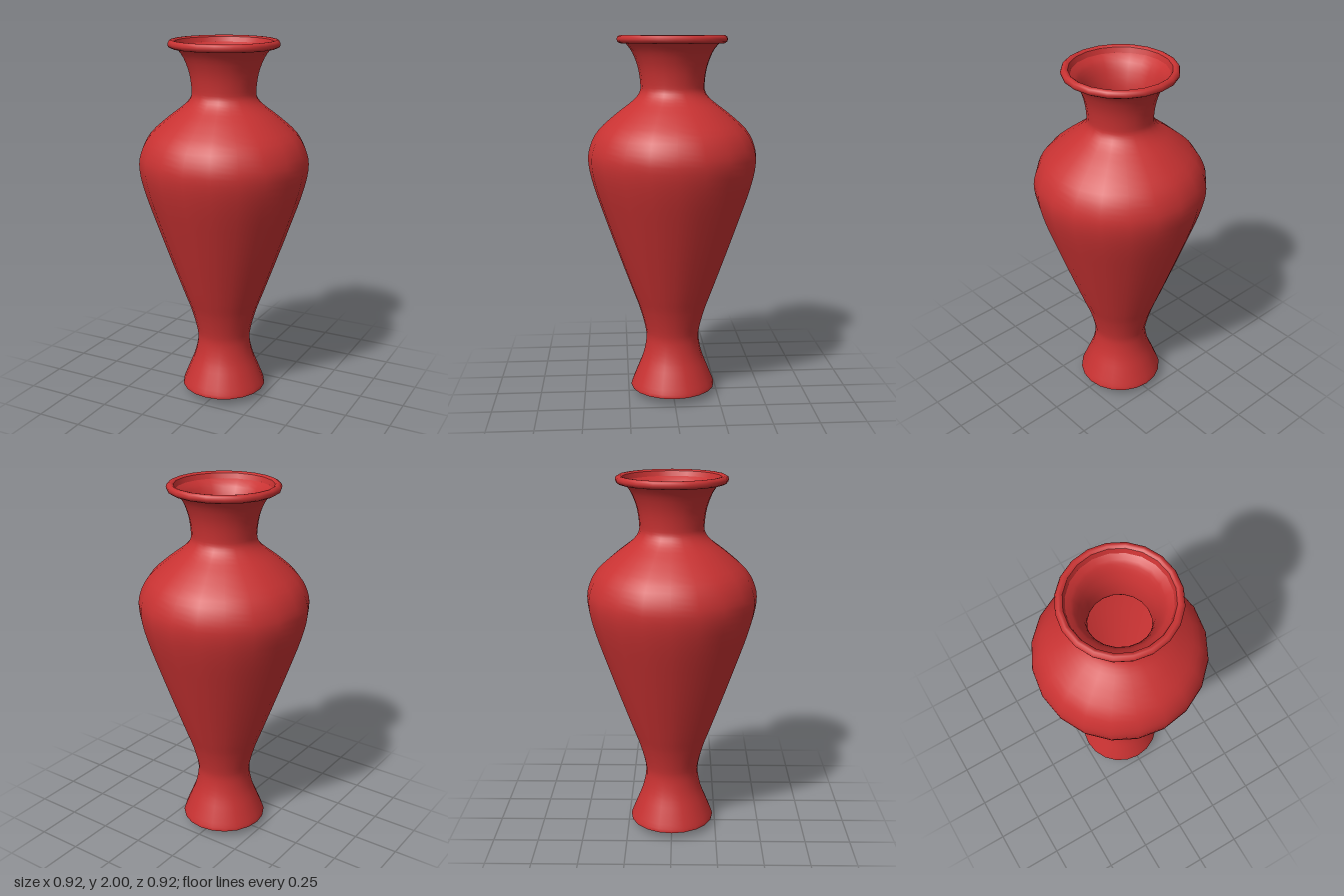
import * as THREE from 'three';

const SIDES = 20;
const WALL = 0.02;

export function createModel() {
  const vase = new THREE.Group();
  vase.name = 'vase';
  const red = new THREE.MeshStandardMaterial({ color: 0xc83232 });
  red.name = 'red glaze';

  const turn = (name, points) => {
    const mesh = new THREE.Mesh(new THREE.LatheGeometry(points, SIDES), red);
    mesh.name = name;
    vase.add(mesh);
  };
  const pts = (list) => list.map(([r, y]) => new THREE.Vector2(r, y));

  // Outer wall, from the foot up to the underside of the lip
  const wallCurve = new THREE.SplineCurve(pts([
    [0.235, 0.04], [0.232, 0.06], [0.2, 0.14], [0.165, 0.23], [0.148, 0.32],
    [0.155, 0.39], [0.185, 0.5], [0.222, 0.6], [0.295, 0.8], [0.366, 1.0],
    [0.43, 1.19], [0.458, 1.32], [0.448, 1.41], [0.4, 1.5], [0.3, 1.59],
    [0.215, 1.655], [0.178, 1.7], [0.173, 1.745], [0.185, 1.83], [0.215, 1.91], [0.25, 1.958],
  ]));
  const outer = wallCurve.getPoints(60);
  turn('outerWall', outer);

  // Underside, a shallow cone pointing down
  turn('base', pts([[0, 0], [0.235, 0.04]]));

  // Rounded lip and its inner drop
  turn('lip', pts([
    [0.25, 1.958], [0.28, 1.958], [0.293, 1.966], [0.297, 1.98],
    [0.292, 1.993], [0.28, 2], [0.27, 1.999], [0.26, 1.992],
  ]));
  turn('lipInnerEdge', pts([[0.26, 1.992], [0.25, 1.965]]));

  // Inner wall, set in from the outer wall and turned to face inward
  const inner = outer
    .filter((p) => p.y > 0.07 && p.y < 1.95)
    .map((p) => new THREE.Vector2(p.x - WALL * 0.8, p.y))
    .reverse();
  turn('innerWall', [new THREE.Vector2(0.25, 1.965), ...inner]);

  // Floor inside the foot
  const last = inner[inner.length - 1];
  turn('innerFloor', [last, new THREE.Vector2(0, last.y - 0.02)]);

  return vase;
}
